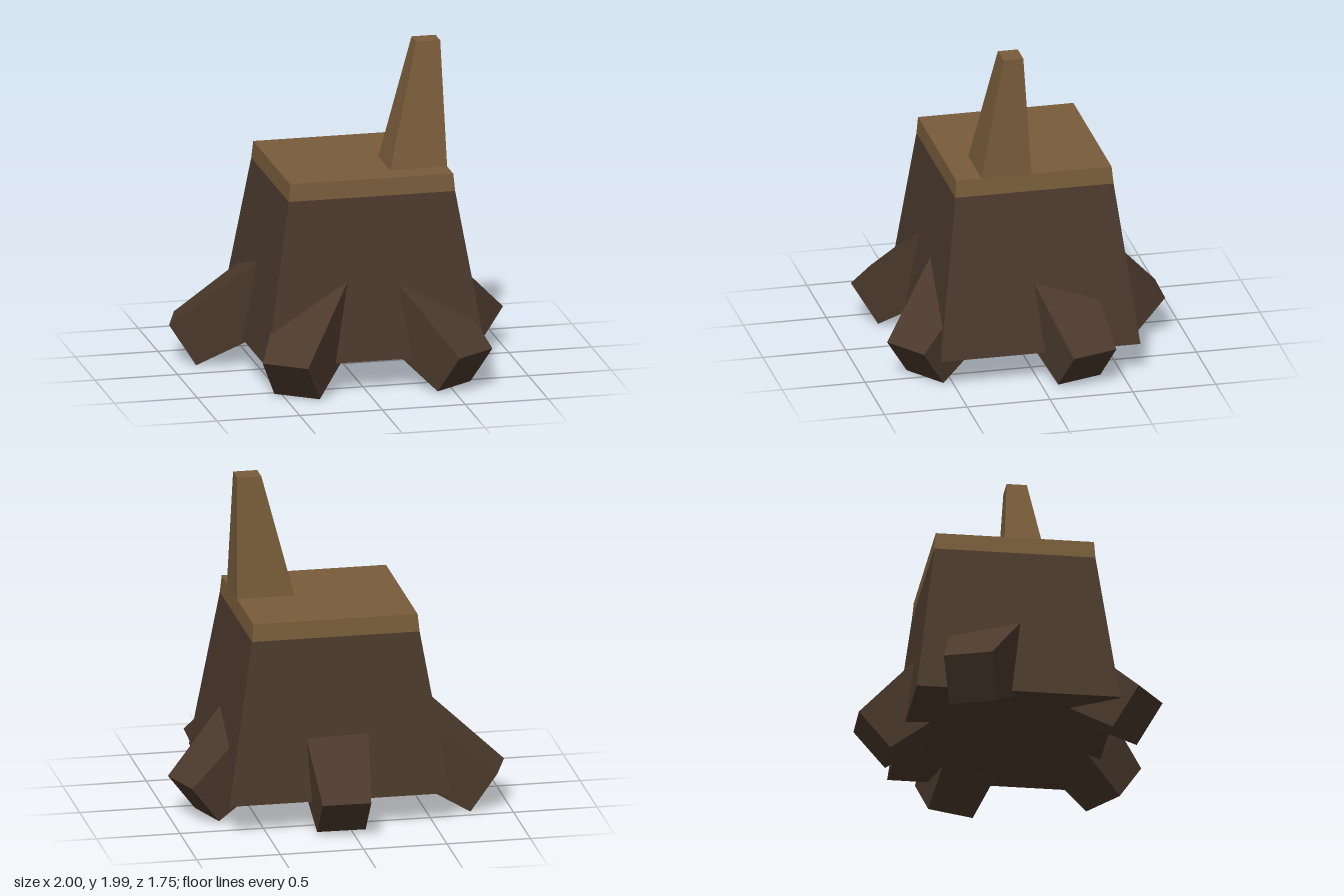
import * as THREE from 'three';

const bark = new THREE.MeshStandardMaterial({ color: 0x4b392c, flatShading: true });
const wood = new THREE.MeshStandardMaterial({ color: 0x785c3a, flatShading: true });

// Box whose bottom and top rectangles are given as [x0, x1, z0, z1]
function frustum(name, material, y0, y1, bottom, top) {
  const geometry = new THREE.BoxGeometry(1, 1, 1);
  const p = geometry.attributes.position;
  for (let i = 0; i < p.count; i++) {
    const up = p.getY(i) > 0;
    const r = up ? top : bottom;
    p.setXYZ(i, r[p.getX(i) > 0 ? 1 : 0], up ? y1 : y0, r[p.getZ(i) > 0 ? 3 : 2]);
  }
  geometry.computeVertexNormals();
  const mesh = new THREE.Mesh(geometry, material);
  mesh.name = name;
  return mesh;
}

// Square root that widens into the trunk; (x, z) is the middle of its outer top edge
const SIZE = 0.29, LENGTH = 0.75, TAPER = 0.09;
function root(name, x, z, dx, dz, pitchDegrees) {
  const s = SIZE / 2, w = s + LENGTH * TAPER;
  const mesh = frustum(name, bark, 0, LENGTH, [-s, s, -s, s], [-w, w, -w, w]);
  mesh.geometry.rotateX(-Math.PI / 2); // outer end at the origin, facing +z
  const pitch = THREE.MathUtils.degToRad(pitchDegrees);
  mesh.rotation.set(pitch, Math.atan2(dx, dz), 0, 'YXZ');
  const back = s * Math.sin(pitch);
  mesh.position.set(x - dx * back, 0.24 - s * Math.cos(pitch), z - dz * back);
  return mesh;
}

export function createModel() {
  const group = new THREE.Group();
  group.name = 'treeStump';

  // Trunk, cut top and the splinter left standing on it
  const rim = [-0.44, 0.565, -0.485, 0.47];
  group.add(
    frustum('trunk', bark, 0.18, 1.15, [-0.6, 0.725, -0.61, 0.595], rim),
    frustum('cutTop', wood, 1.15, 1.255, rim, [-0.43, 0.555, -0.475, 0.463]),
    frustum('splinter', wood, 1.24, 1.99, [0.207, 0.555, 0.007, 0.312], [0.4, 0.545, 0.055, 0.175])
  );

  // Roots: outer edge position, outward direction, slope
  group.add(
    root('backRoot', 0.075, -0.88, 0.02, -1, 40),
    root('frontLeftRoot', 0.617, 0.783, 0.575, 0.819, 36.5),
    root('frontRightRoot', -0.535, 0.785, -0.594, 0.804, 37),
    root('leftRoot', 0.955, -0.283, 0.95, -0.311, 38.5),
    root('rightRoot', -0.953, -0.353, -0.945, -0.327, 33.5)
  );
  return group;
}
